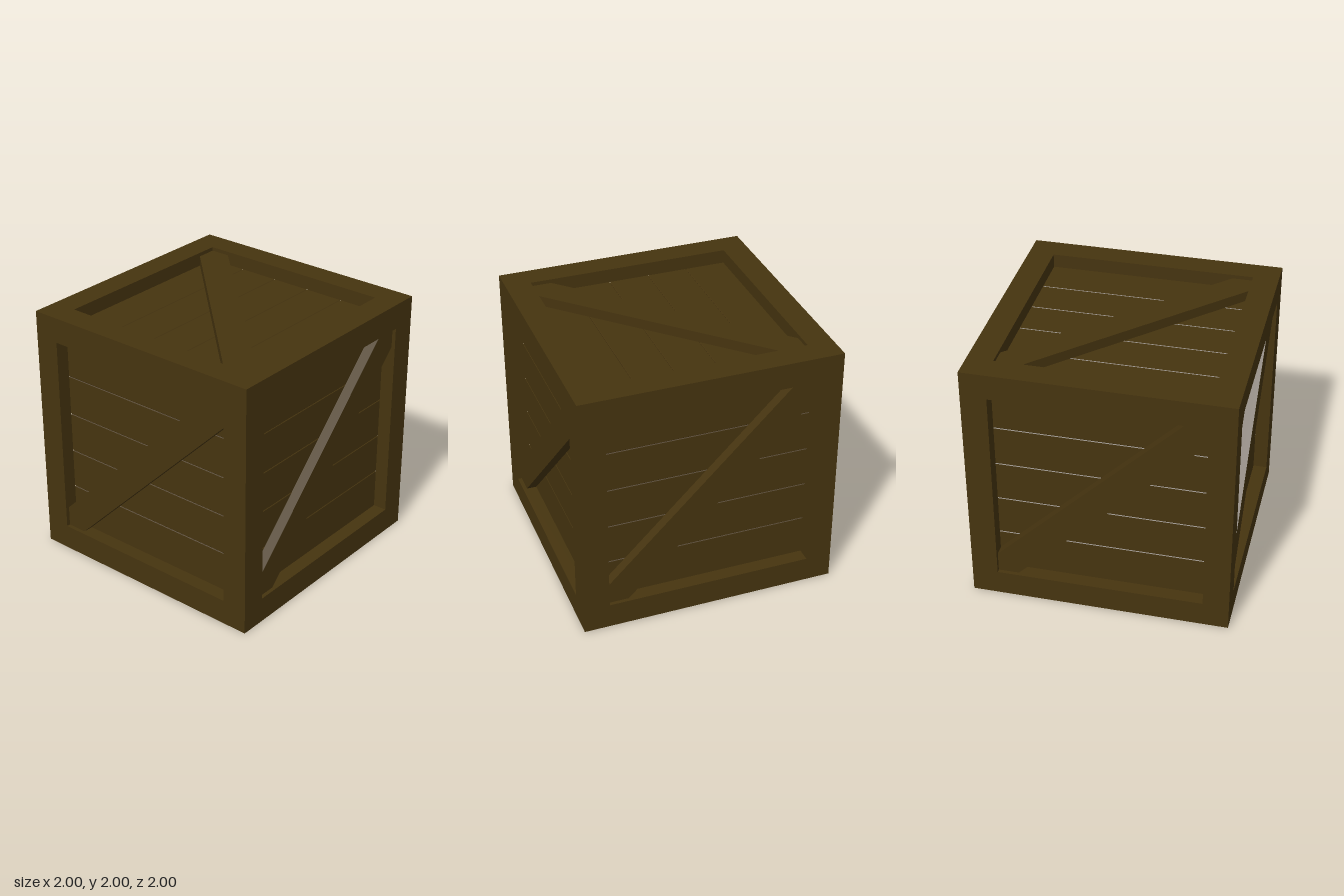
import * as THREE from 'three';
import { mergeGeometries } from 'three/addons/utils/BufferGeometryUtils.js';

const HALF = 1;         // half the crate's size
const INNER = 0.8;      // half the opening in each frame
const RECESS = 0.11;    // depth of the planks below the frame
const PLANKS = 5;

const polygon = points => new THREE.Shape(points.map(([x, y]) => new THREE.Vector2(x, y)));
const square = r => [[-r, -r], [r, -r], [r, r], [-r, r]];

// Square rim plus the four walls of its opening
function frameGeometry() {
  const rim = polygon(square(HALF));
  rim.holes.push(polygon(square(INNER)));
  const parts = [new THREE.ShapeGeometry(rim).translate(0, 0, HALF)];
  for (let i = 0; i < 4; i++) {
    parts.push(new THREE.PlaneGeometry(2 * INNER, RECESS)
      .rotateX(-Math.PI / 2)
      .translate(0, -INNER, HALF - RECESS / 2)
      .rotateZ(i * Math.PI / 2));
  }
  return mergeGeometries(parts);
}

// Horizontal planks with fine V grooves between them
function planksGeometry() {
  const front = -(HALF - RECESS);
  const groove = 0.005;
  const points = [[front + 0.05, -INNER], [front, -INNER]];
  for (let i = 1; i < PLANKS; i++) {
    const y = -INNER + i * 2 * INNER / PLANKS;
    points.push([front, y - groove], [front + groove, y], [front, y + groove]);
  }
  points.push([front, INNER], [front + 0.05, INNER]);
  return new THREE.ExtrudeGeometry(polygon(points), { depth: 2 * INNER, bevelEnabled: false })
    .translate(0, 0, -INNER)
    .rotateY(Math.PI / 2);
}

// Diagonal brace, trimmed to the opening and set just below the frame
function braceGeometry() {
  const a = INNER, b = INNER - 0.16;
  const outline = polygon([[-a, -a], [-b, -a], [a, b], [a, a], [b, a], [-a, -b]]);
  return new THREE.ExtrudeGeometry(outline, { depth: RECESS - 0.03, bevelEnabled: false })
    .translate(0, 0, HALF - RECESS);
}

export function createModel() {
  const wood = new THREE.MeshStandardMaterial({ color: 0x46340f });
  wood.name = 'dark wood';

  const parts = { frame: frameGeometry(), planks: planksGeometry(), brace: braceGeometry() };
  const q = Math.PI / 2;
  const sides = {
    front: [0, 0], right: [0, q], back: [0, 2 * q], left: [0, 3 * q],
    top: [-q, 0], bottom: [q, 0],
  };

  // The same panel on all six sides
  const crate = new THREE.Group();
  crate.name = 'crate';
  for (const [side, [rx, ry]] of Object.entries(sides)) {
    const panel = new THREE.Group();
    panel.name = side + 'Panel';
    for (const [part, geometry] of Object.entries(parts)) {
      const mesh = new THREE.Mesh(geometry, wood);
      mesh.name = part;
      panel.add(mesh);
    }
    panel.rotation.set(rx, ry, 0);
    panel.position.y = HALF;
    crate.add(panel);
  }
  return crate;
}
